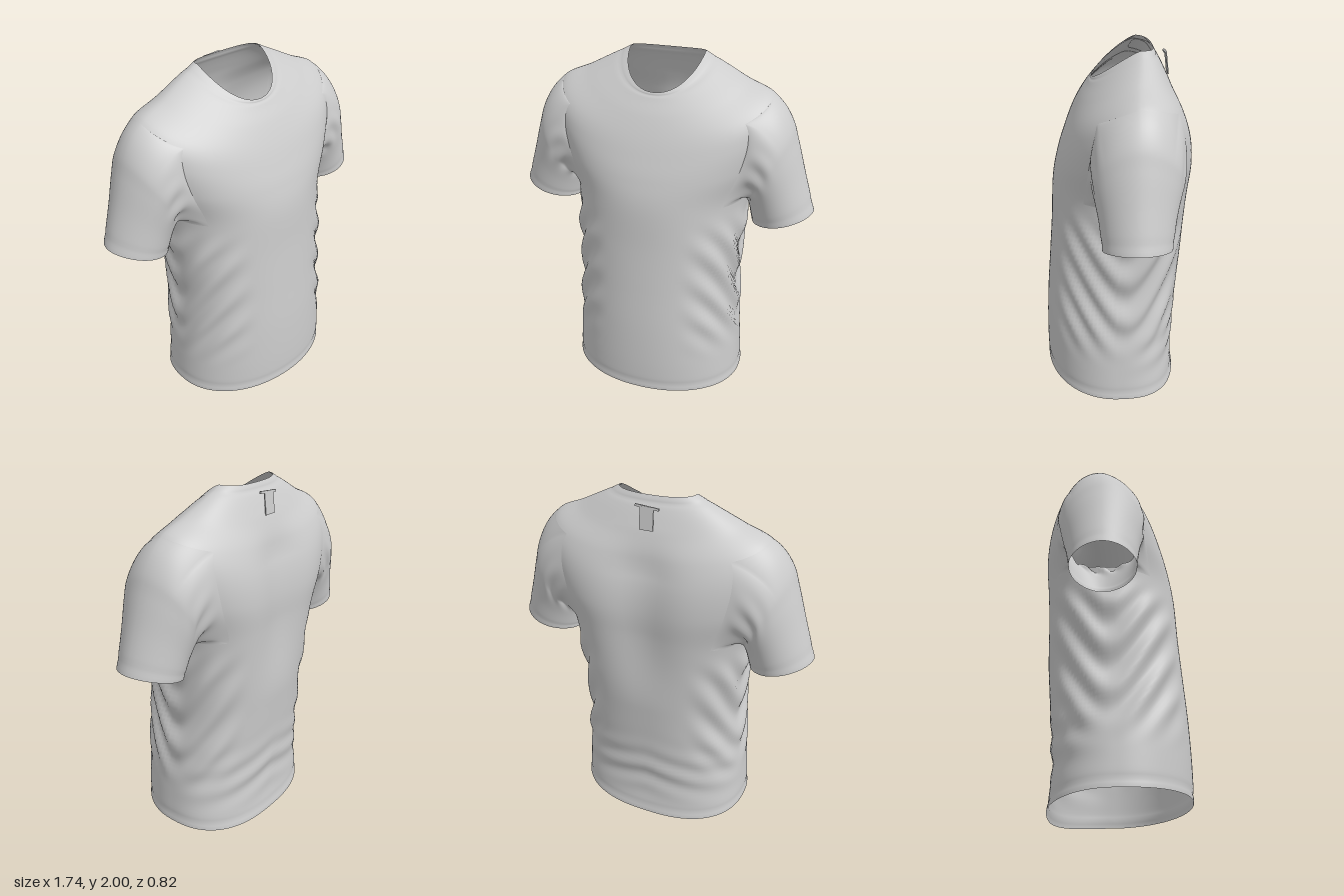
import * as THREE from 'three';

const N = 120;   // points around the body
const S = 10;    // rings per body section

// Body sections, hem to neckline: half width, side y, side z, front y, front z, back y, back z
const BODY = [
  [0.525, 0.045, 0.0, 0.065, 0.41, 0.005, -0.37],
  [0.51, 0.25, 0.0, 0.26, 0.41, 0.22, -0.35],
  [0.49, 0.5, 0.0, 0.5, 0.4, 0.48, -0.365],
  [0.475, 0.75, 0.0, 0.75, 0.38, 0.75, -0.385],
  [0.49, 1.0, -0.03, 1.0, 0.36, 1.0, -0.405],
  [0.505, 1.25, -0.08, 1.25, 0.345, 1.25, -0.425],
  [0.59, 1.5, -0.1, 1.4, 0.315, 1.42, -0.43],
  [0.63, 1.7, -0.1, 1.52, 0.275, 1.57, -0.41],
  [0.6, 1.81, -0.1, 1.62, 0.235, 1.7, -0.365],
  [0.45, 1.88, -0.11, 1.72, 0.185, 1.81, -0.305],
  [0.33, 1.94, -0.125, 1.79, 0.14, 1.91, -0.255],
  [0.21, 2.0, -0.135, 1.83, 0.115, 1.99, -0.21],
];
// Sleeve sections, shoulder to cuff: top x, top y, underarm x, underarm y, front z, back z
const SLEEVE = [
  [0.6, 1.81, 0.5, 1.27, 0.155, -0.335],
  [0.69, 1.725, 0.5, 1.235, 0.14, -0.325],
  [0.75, 1.56, 0.505, 1.2, 0.125, -0.305],
  [0.805, 1.38, 0.515, 1.15, 0.105, -0.28],
  [0.87, 1.175, 0.53, 1.08, 0.09, -0.26],
];
// Armhole: rings and angular steps left open in the body
const HOLE = { low: 5 * S, high: 8 * S, front: 12, back: 15 };

const smooth = THREE.MathUtils.smoothstep;
const bump = (x, c, r) => Math.exp(-(((x - c) / r) ** 2));

// Catmull-Rom interpolation of a table row
function sample(table, v) {
  const last = table.length - 1;
  const i = Math.min(Math.floor(v), last - 1), t = v - i;
  const row = (k) => table[THREE.MathUtils.clamp(k, 0, last)];
  const [a, b, c, d] = [row(i - 1), row(i), row(i + 1), row(i + 2)];
  return b.map((_, k) => 0.5 * (2 * b[k] + (c[k] - a[k]) * t
    + (2 * a[k] - 5 * b[k] + 4 * c[k] - d[k]) * t * t
    + (3 * b[k] - a[k] - 3 * c[k] + d[k]) * t ** 3));
}

function bodyPoint(j, i) {
  const v = j / S, a = (i / N) * Math.PI * 2;
  const [w, sy, sz, fy, fz, by, bz] = sample(BODY, v);
  const c = Math.cos(a), s = Math.sin(a), front = s > 0;
  const p = 2 / (front ? 2.1 : 2.5);
  const x = w * Math.sign(c) * Math.abs(c) ** p;
  const y = sy + ((front ? fy : by) - sy) * Math.abs(s) ** (front ? 1.2 : 1.5);
  let z = sz + ((front ? fz : bz) - sz) * Math.abs(s) ** p;
  // hollow along the spine
  if (!front) z += 0.05 * bump(x, 0, 0.18) * smooth(y, 0.8, 1.3) * (1 - smooth(y, 1.6, 1.85));
  // draped folds hanging in a V under the arms
  const drape = y - 0.55 - 1.9 * (Math.hypot(z + 0.05, 0.09) - 0.09);
  let d = 0.014 * Math.cos(drape * 25) * smooth(Math.abs(c), 0.4, 0.85)
    * smooth(y, 0.25, 0.55) * (1 - smooth(y, 1.0, 1.22));
  // slack across the lower back
  if (!front) d += 0.008 * Math.sin(y * 38 + Math.abs(x) * 9) * bump(y, 0.33, 0.16) * -s;
  // stitch lines at hem and collar
  d -= 0.004 * bump(v, 0.3, 0.08) + 0.004 * bump(v, 10.5, 0.1);
  return [x + d * c, y, z + d * s];
}

// Turns a grid of points into a surface; skip(j, i) leaves openings
function gridMesh(name, rows, flip, material, skip = () => false) {
  const n = rows[0].length, index = [];
  for (let j = 0; j < rows.length - 1; j++) {
    for (let i = 0; i < n; i++) {
      if (skip(j, i)) continue;
      const a = j * n + i, b = j * n + ((i + 1) % n), c = a + n, d = b + n;
      index.push(...(flip ? [a, c, b, b, c, d] : [a, b, c, b, d, c]));
    }
  }
  const g = new THREE.BufferGeometry();
  g.setAttribute('position', new THREE.Float32BufferAttribute(rows.flat(2), 3));
  g.setIndex(index);
  g.computeVertexNormals();
  const mesh = new THREE.Mesh(g, material);
  mesh.name = name;
  return mesh;
}

function sleeveRows(mirror) {
  // loop round the armhole: over the shoulder, down the front, underarm, up the back
  const { low, high, front, back } = HOLE, loop = [];
  for (let i = -back; i < front; i++) loop.push(bodyPoint(high, i));
  for (let j = high; j > low; j--) loop.push(bodyPoint(j, front));
  for (let i = front; i > -back; i--) loop.push(bodyPoint(low, i));
  for (let j = low; j < high; j++) loop.push(bodyPoint(j, -back));
  const [, ty, , by, zf, zb] = SLEEVE[0];
  const angles = loop.map(([, y, z]) =>
    Math.atan2((z - (zf + zb) / 2) / (zf - zb), (y - (ty + by) / 2) / (ty - by)));
  const steps = 44, rows = [];
  for (let k = 0; k <= steps; k++) {
    const t = k / steps;
    const [tx, y1, ux, y0, f, b] = sample(SLEEVE, t * (SLEEVE.length - 1));
    const blend = smooth(t, 0, 0.4);
    rows.push(loop.map((p, i) => {
      const c = Math.cos(angles[i]), s = Math.sin(angles[i]);
      // creases fanning out of the underarm, and the cuff stitch line
      const d = 0.009 * Math.sin(angles[i] * 13 + t * 7) * bump(t, 0.28, 0.17) * smooth(-c, -0.6, 0.3)
        - 0.002 * bump(t, 0.92, 0.025);
      const q = [
        (tx + ux) / 2 + c * ((tx - ux) / 2 + d),
        (y1 + y0) / 2 + c * ((y1 - y0) / 2 + d),
        (f + b) / 2 + s * (0.85 + 0.15 * Math.abs(s)) * ((f - b) / 2 + d),
      ];
      const r = p.map((e, m) => e + (q[m] - e) * blend);
      return [mirror * r[0], r[1], r[2]];
    }));
  }
  return rows;
}

export function createModel() {
  const group = new THREE.Group();
  group.name = 'tShirt';
  const cloth = new THREE.MeshStandardMaterial({ color: 0xcccccc, side: THREE.DoubleSide });

  // Body with neck, hem and two armholes left open
  const rows = [];
  for (let j = 0; j <= (BODY.length - 1) * S; j++) {
    rows.push(Array.from({ length: N }, (_, i) => bodyPoint(j, i)));
  }
  const inHole = (i) => i < HOLE.front || i >= N - HOLE.back;
  group.add(gridMesh('shirtBody', rows, true, cloth, (j, i) =>
    j >= HOLE.low && j < HOLE.high && (inHole(i) || inHole((N / 2 - 1 - i + N) % N))));

  // Sleeves
  group.add(gridMesh('leftSleeve', sleeveRows(1), false, cloth));
  group.add(gridMesh('rightSleeve', sleeveRows(-1), true, cloth));

  // Small tag on the upper back, with its folded top strip
  const tag = new THREE.Group();
  tag.name = 'neckTag';
  const plate = new THREE.Mesh(new THREE.BoxGeometry(0.075, 0.12, 0.006), cloth);
  plate.name = 'tagPlate';
  const strip = new THREE.Mesh(new THREE.BoxGeometry(0.13, 0.012, 0.01), cloth);
  strip.name = 'tagStrip';
  strip.position.set(0, 0.055, 0.004);
  strip.rotation.z = 0.08;
  tag.add(plate, strip);
  tag.position.set(-0.005, 1.895, -0.29);
  tag.rotation.x = 0.12;
  group.add(tag);
  return group;
}
